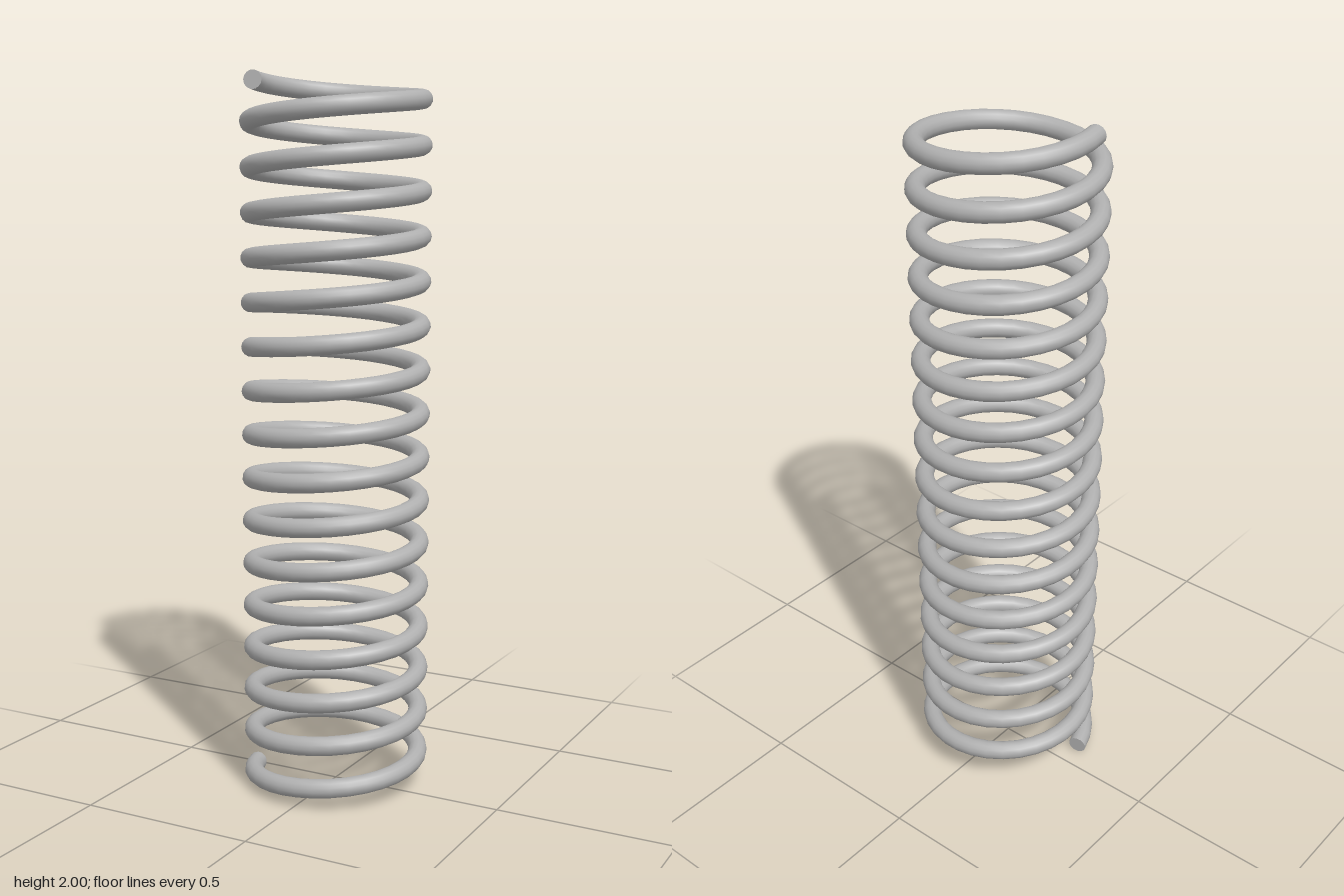
import * as THREE from 'three';

const COIL_RADIUS = 0.235;
const WIRE_RADIUS = 0.0265;
const TURNS = 16;
const HEIGHT = 2;
const START_ANGLE = Math.PI - 0.235;

// Centre line of the wire, rising from the foot to the top
class Helix extends THREE.Curve {
  getPoint(t, target = new THREE.Vector3()) {
    const a = START_ANGLE - t * TURNS * Math.PI * 2;
    const y = THREE.MathUtils.lerp(WIRE_RADIUS, HEIGHT - WIRE_RADIUS, t);
    return target.set(COIL_RADIUS * Math.cos(a), y, COIL_RADIUS * Math.sin(a));
  }
}

export function createModel() {
  const group = new THREE.Group();
  group.name = 'coilSpring';
  const steel = new THREE.MeshStandardMaterial({ color: 0xb0b0b0 });
  steel.name = 'steelGrey';

  // Coiled wire
  const helix = new Helix();
  helix.arcLengthDivisions = TURNS * 60;
  const wire = new THREE.Mesh(new THREE.TubeGeometry(helix, TURNS * 32, WIRE_RADIUS, 14), steel);
  wire.name = 'coiledWire';
  group.add(wire);

  // Flat cut ends, facing away from the wire
  for (const [name, t, sign] of [['bottomEnd', 0, -1], ['topEnd', 1, 1]]) {
    const cap = new THREE.Mesh(new THREE.CircleGeometry(WIRE_RADIUS, 14), steel);
    const outward = helix.getTangent(t).multiplyScalar(sign);
    cap.name = name;
    cap.position.copy(helix.getPoint(t));
    cap.quaternion.setFromUnitVectors(new THREE.Vector3(0, 0, 1), outward);
    group.add(cap);
  }
  return group;
}
